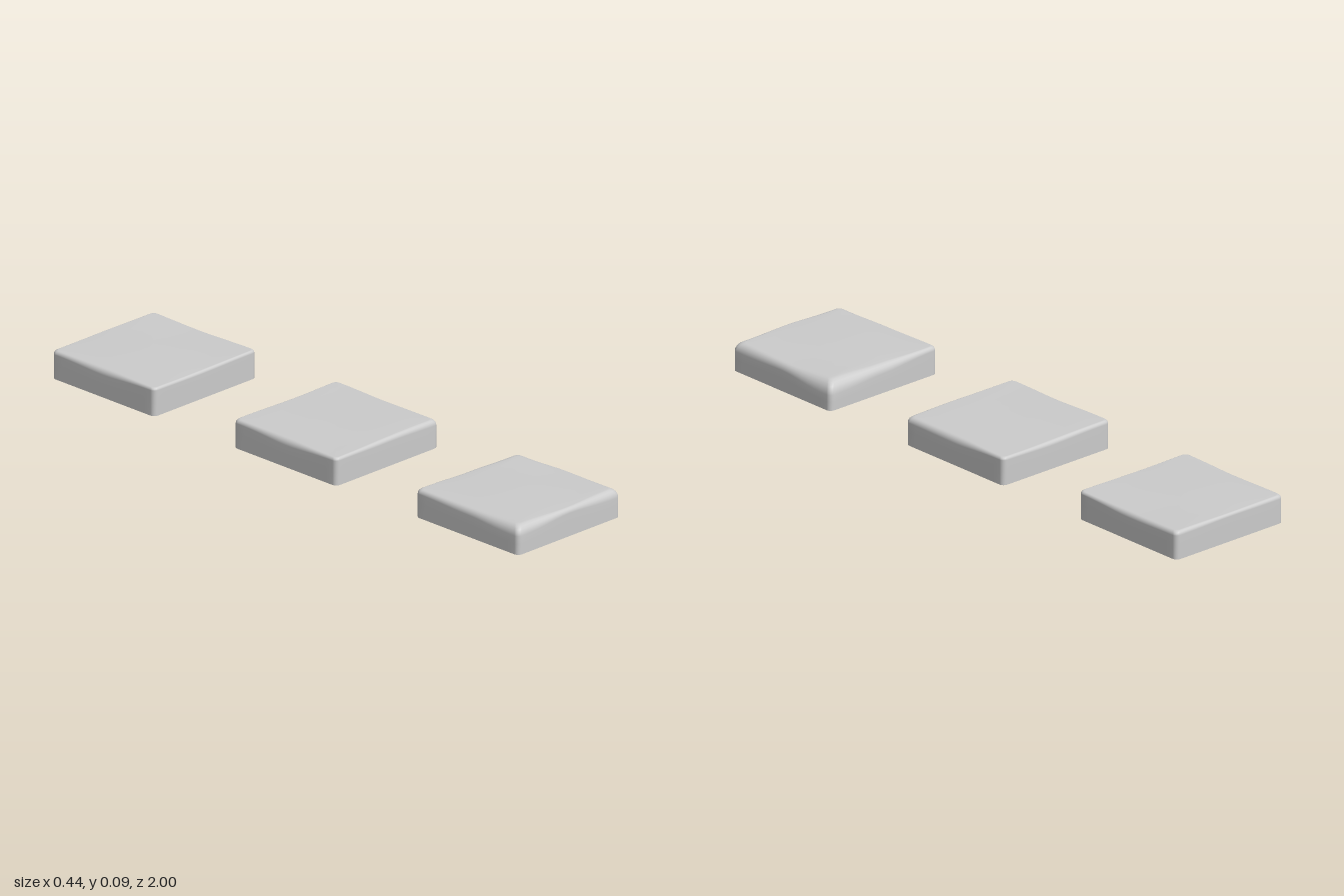
import * as THREE from 'three';

const HALF = 0.22, HEIGHT = 0.09, CORNER = 0.016;
const SIDE_STEPS = 14, ARC_STEPS = 4;

// Rounded square outline, walked from +x towards +z
function outline() {
  const pts = [], core = HALF - CORNER;
  const signs = [[1, 1], [-1, 1], [-1, -1], [1, -1]];
  signs.forEach(([sx, sz], q) => {
    for (let i = 0; i <= ARC_STEPS; i++) {
      const a = (q + i / ARC_STEPS) * Math.PI / 2;
      pts.push([sx * core + CORNER * Math.cos(a), sz * core + CORNER * Math.sin(a)]);
    }
    const [x, z] = pts[pts.length - 1];
    const [nx, nz] = signs[(q + 1) % 4];
    const a = (q + 1) * Math.PI / 2;
    const ex = nx * core + CORNER * Math.cos(a), ez = nz * core + CORNER * Math.sin(a);
    for (let i = 1; i < SIDE_STEPS; i++) {
      const t = i / SIDE_STEPS;
      pts.push([x + (ex - x) * t, z + (ez - z) * t]);
    }
  });
  return pts;
}

// Smooth edge wear between eight values: side middles and corners in turn
function wearAt(wear, x, z) {
  const u = ((Math.atan2(z, x) / (Math.PI / 4)) + 8) % 8;
  const i = Math.floor(u), f = (1 - Math.cos((u - i) * Math.PI)) / 2;
  return wear[i % 8] * (1 - f) + wear[(i + 1) % 8] * f;
}

// Open-bottomed slab: straight walls, worn rounded rim, gently uneven top
function slabGeometry(wear, phase) {
  const pts = outline(), n = pts.length, pos = [], idx = [];
  const topY = (x, z) => HEIGHT + 0.002 +
    0.002 * Math.sin(x * 11 + 2 + phase) * Math.cos(z * 9 + phase);
  const rings = [];
  rings.push((x, z) => [1, 0]);
  rings.push((x, z, b) => [1, (HEIGHT - b) * 0.6]);
  for (let k = 0; k <= 5; k++) {
    const a = k / 5 * Math.PI / 2;
    rings.push((x, z, b) => [
      1 - b * 0.85 * (1 - Math.cos(a)) / HALF,
      topY(x, z) - b * (1 - Math.sin(a)),
    ]);
  }
  for (const s of [0.76, 0.6, 0.4, 0.2]) rings.push((x, z) => [s, topY(x * s, z * s)]);

  for (const ring of rings) {
    for (const [x, z] of pts) {
      const [s, y] = ring(x, z, wearAt(wear, x, z));
      pos.push(x * s, y, z * s);
    }
  }
  pos.push(0, topY(0, 0), 0);
  for (let r = 0; r < rings.length; r++) {
    for (let i = 0; i < n; i++) {
      const j = (i + 1) % n, a = r * n + i, b = r * n + j;
      if (r === rings.length - 1) idx.push(a, rings.length * n, b);
      else idx.push(a, a + n, b, b, a + n, b + n);
    }
  }
  const geo = new THREE.BufferGeometry();
  geo.setAttribute('position', new THREE.Float32BufferAttribute(pos, 3));
  geo.setIndex(idx);
  geo.computeVertexNormals();
  return geo;
}

export function createModel() {
  const group = new THREE.Group();
  group.name = 'steppingStones';
  const material = new THREE.MeshStandardMaterial({ color: 0xcccccc, side: THREE.DoubleSide });
  const stones = [
    { name: 'frontStone', z: 0.78, wear: [0.022, 0.028, 0.016, 0.032, 0.02, 0.014, 0.028, 0.042] },
    { name: 'middleStone', z: 0, wear: [0.02, 0.018, 0.014, 0.01, 0.02, 0.012, 0.014, 0.01] },
    { name: 'backStone', z: -0.78, wear: [0.016, 0.009, 0.01, 0.009, 0.018, 0.012, 0.01, 0.014] },
  ];
  stones.forEach(({ name, z, wear }, i) => {
    const stone = new THREE.Mesh(slabGeometry(wear, i * 1.7), material);
    stone.name = name;
    stone.position.z = z;
    group.add(stone);
  });
  return group;
}
